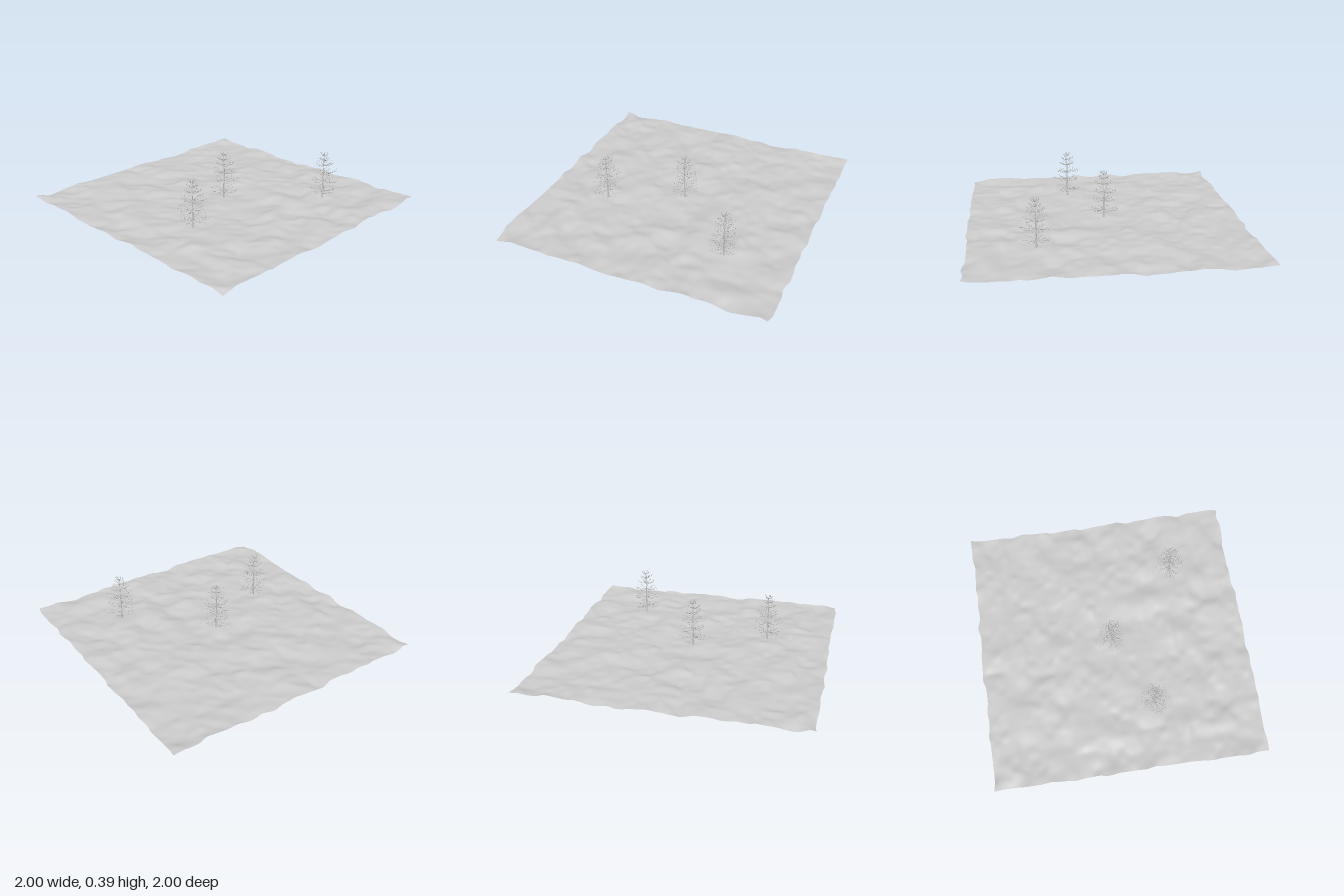
import * as THREE from 'three';
import { mergeGeometries } from 'three/addons/utils/BufferGeometryUtils.js';

const material = new THREE.MeshStandardMaterial({ color: 0xcccccc });
const groundMaterial = new THREE.MeshStandardMaterial({ color: 0xcccccc, side: THREE.DoubleSide });

function seeded(seed) {
  let s = seed;
  return () => (s = (s * 16807) % 2147483647) / 2147483647;
}

// Smooth value noise in the range -1 to 1
function hash(i, j, k) {
  const v = Math.sin(i * 127.1 + j * 311.7 + k * 74.7) * 43758.5453;
  return (v - Math.floor(v)) * 2 - 1;
}
function noise(x, z, k) {
  const i = Math.floor(x), j = Math.floor(z);
  const ease = t => t * t * (3 - 2 * t);
  const u = ease(x - i), v = ease(z - j);
  const mix = THREE.MathUtils.lerp;
  return mix(mix(hash(i, j, k), hash(i + 1, j, k), u), mix(hash(i, j + 1, k), hash(i + 1, j + 1, k), u), v);
}
function groundHeight(x, z) {
  const h = 0.015 * noise(x * 7, z * 7, 1) + 0.006 * noise(x * 16, z * 16, 2);
  return 0.03 + THREE.MathUtils.clamp(h, -0.021, 0.021);
}

// Uneven sheet of ground with a ragged rim
function createGround() {
  const geometry = new THREE.PlaneGeometry(1.975, 1.975, 110, 110).rotateX(-Math.PI / 2);
  const p = geometry.attributes.position;
  for (let i = 0; i < p.count; i++) {
    const x = p.getX(i), z = p.getZ(i);
    p.setXYZ(i, x + 0.012 * noise(x * 12, z * 12, 3), groundHeight(x, z), z + 0.012 * noise(x * 12, z * 12, 4));
  }
  geometry.computeVertexNormals();
  const ground = new THREE.Mesh(geometry, groundMaterial);
  ground.name = 'ground';
  return ground;
}

// Tapered stick between two points
function stick(a, b, r0, r1, sides = 4) {
  const dir = b.clone().sub(a);
  const g = new THREE.CylinderGeometry(r1, r0, dir.length(), sides);
  g.applyQuaternion(new THREE.Quaternion().setFromUnitVectors(new THREE.Vector3(0, 1, 0), dir.normalize()));
  return g.translate((a.x + b.x) / 2, (a.y + b.y) / 2, (a.z + b.z) / 2);
}

// Whorls of branches: height, reach, rise of the tip, number of branches
const tiers = [
  [0.09, 0.098, 0.005, 9],
  [0.168, 0.096, 0.009, 9],
  [0.232, 0.084, 0.014, 9],
  [0.29, 0.064, 0.016, 8],
  [0.33, 0.045, 0.017, 7],
  [0.362, 0.027, 0.018, 6],
];

function createTree(name, x, z, seed) {
  const rand = seeded(seed);
  const spread = n => (rand() - 0.5) * n;
  const branches = [], twigs = [];

  for (const [y, reach, rise, count] of tiers) {
    const phase = rand() * Math.PI;
    for (let i = 0; i < count; i++) {
      const angle = phase + (i / count) * Math.PI * 2 + spread(0.35);
      const length = reach * (0.8 + rand() * 0.35);
      const base = y + spread(0.006);
      // Branch dips a little, then lifts at the tip
      const at = (t, turn = 0, lift = 0) => new THREE.Vector3(
        Math.cos(angle + turn) * length * t,
        base + rise * t * t - 0.003 * Math.sin(t * Math.PI) + lift,
        Math.sin(angle + turn) * length * t);
      const steps = [0, 0.35, 0.7, 1];
      for (let k = 0; k < 3; k++) {
        branches.push(stick(at(steps[k]), at(steps[k + 1]), 0.0026 - k * 0.0007, 0.0019 - k * 0.0006));
      }
      // Side twigs fork forward along the outer half
      for (const [t, side] of [[0.45, 1], [0.58, -1], [0.72, 1], [0.84, -1]]) {
        const turn = side * (0.2 + rand() * 0.12);
        twigs.push(stick(at(t), at(t + 0.25, turn, spread(0.012) + 0.003), 0.001, 0.0005, 3));
      }
    }
  }

  const tree = new THREE.Group();
  tree.name = name;
  const add = (part, geometry) => {
    const mesh = new THREE.Mesh(geometry, material);
    mesh.name = part;
    tree.add(mesh);
  };
  add('trunk', stick(new THREE.Vector3(0, 0, 0), new THREE.Vector3(0, 0.388, 0), 0.0065, 0.001, 8));
  add('branches', mergeGeometries(branches));
  add('twigs', mergeGeometries(twigs));
  tree.position.set(x, 0, z);
  return tree;
}

export function createModel() {
  const model = new THREE.Group();
  model.name = 'groundWithBareTrees';
  model.add(
    createGround(),
    createTree('middleTree', 0, 0, 11),
    createTree('frontTree', 0.23, 0.52, 257),
    createTree('backTree', 0.515, -0.515, 4001),
  );
  return model;
}
